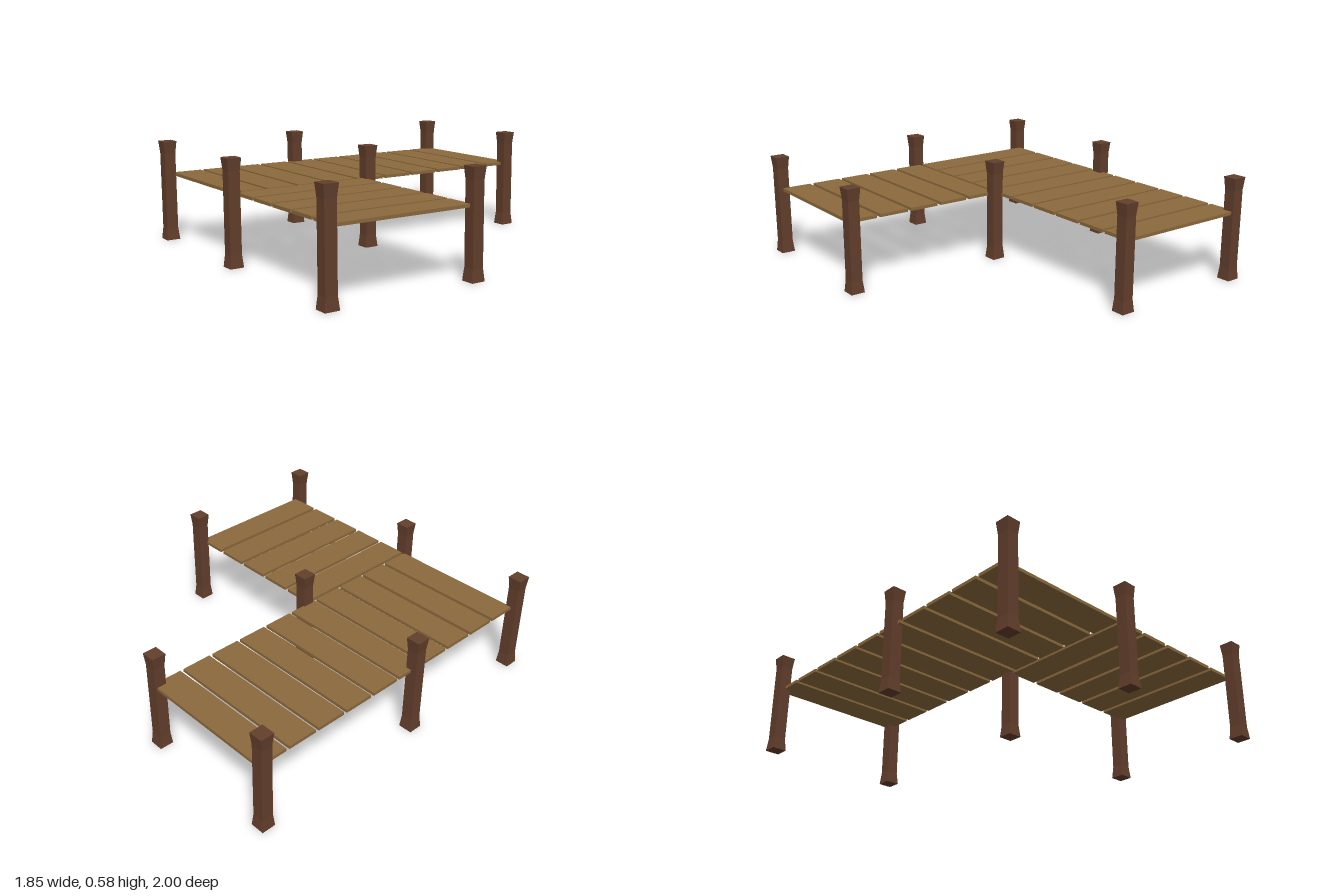
import * as THREE from 'three';

const postMat = new THREE.MeshStandardMaterial({ color: 0x633f2c, flatShading: true });
const plankMat = new THREE.MeshStandardMaterial({ color: 0x8c6a3d, flatShading: true });

const POST_H = 0.585, POST_W = 0.08, WAIST_W = 0.066, FLARE = 0.07;
const PLANK_Y = 0.388, PLANK_T = 0.018, PLANK_W = 0.172;

// Square post, slimmer between its flared foot and head
function makePostGeometry() {
  const geo = new THREE.BoxGeometry(POST_W, POST_H, POST_W, 1, 3, 1);
  geo.translate(0, POST_H / 2, 0);
  const pos = geo.attributes.position;
  const slim = WAIST_W / POST_W;
  for (let i = 0; i < pos.count; i++) {
    const y = pos.getY(i);
    if (y < 0.01 || y > POST_H - 0.01) continue;
    pos.setXYZ(i, pos.getX(i) * slim, y < POST_H / 2 ? FLARE : POST_H - FLARE, pos.getZ(i) * slim);
  }
  geo.computeVertexNormals();
  return geo;
}

export function createModel() {
  const group = new THREE.Group();
  group.name = 'dock';

  const add = (parent, name, geo, mat, x, y, z) => {
    const mesh = new THREE.Mesh(geo, mat);
    mesh.name = name;
    mesh.position.set(x, y, z);
    parent.add(mesh);
  };

  // Long walkway: planks laid across x
  const walkway = new THREE.Group();
  walkway.name = 'walkway';
  const longPlank = new THREE.BoxGeometry(0.805, PLANK_T, PLANK_W);
  for (let i = 0; i < 10; i++) {
    add(walkway, `walkwayPlank${i + 1}`, longPlank, plankMat, -0.482, PLANK_Y, -0.895 + i * 0.1929);
  }

  // Side platform: planks laid along z
  const platform = new THREE.Group();
  platform.name = 'sidePlatform';
  const sidePlank = new THREE.BoxGeometry(PLANK_W, PLANK_T, 0.8);
  for (let i = 0; i < 5; i++) {
    add(platform, `platformPlank${i + 1}`, sidePlank, plankMat, 0.024 + i * 0.195, PLANK_Y, 0.526);
  }

  // Posts at the corners and joints
  const posts = new THREE.Group();
  posts.name = 'posts';
  const postGeo = makePostGeometry();
  [
    [-0.886, -0.96], [-0.082, -0.96],
    [-0.886, 0.103], [-0.056, 0.103], [0.885, 0.103],
    [-0.886, 0.957], [-0.056, 0.957], [0.885, 0.957],
  ].forEach(([x, z], i) => add(posts, `post${i + 1}`, postGeo, postMat, x, 0, z));

  group.add(walkway, platform, posts);
  return group;
}
